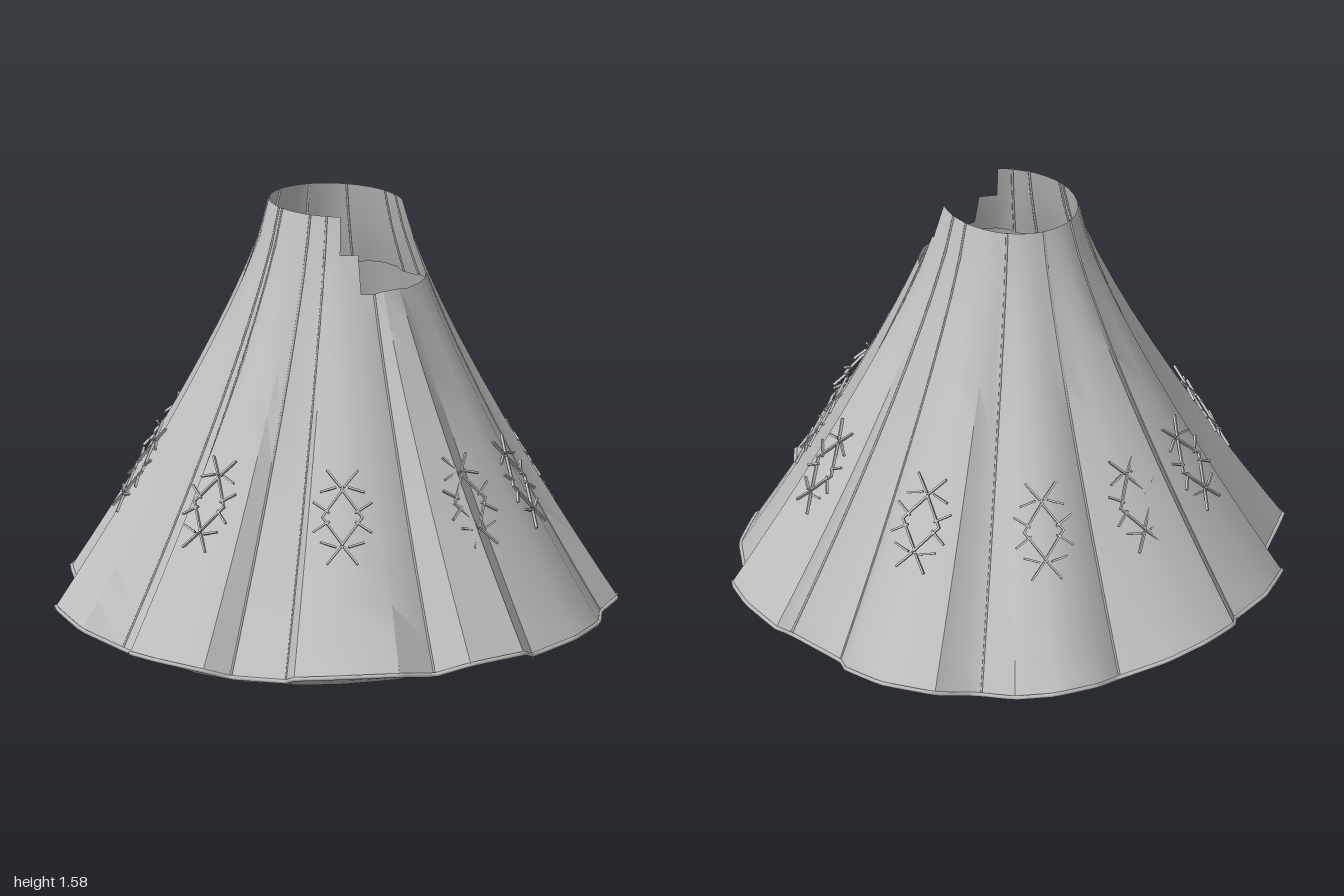
import * as THREE from 'three';
import { toCreasedNormals } from 'three/addons/utils/BufferGeometryUtils.js';

// Scalloped hem outline seen from above, as x, z pairs
const HEM = [
  .88, 0, 1, .2, .92, .4, .78, .43, .75, .59, .59, .75, .44, .8, .38, .77, .17, .82, .11, .9, -.07, .945,
  -.22, .9, -.27, .81, -.34, .79, -.5, .82, -.69, .73, -.74, .53, -.76, .48, -.92, .35, -.97, .16, -.94, 0,
  -1, -.1, -.97, -.24, -.89, -.37, -.76, -.48, -.75, -.61, -.66, -.75, -.53, -.81, -.37, -.775, -.33, -.8,
  -.26, -.91, -.07, -.96, .11, -.91, .18, -.83, .41, -.79, .46, -.81, .62, -.75, .73, -.67, .74, -.56,
  .86, -.4, .92, -.19];
const N = HEM.length / 2;
const V = (x, y, z) => new THREE.Vector3(x, y, z);
const angleOf = p => Math.atan2(p.z, p.x);

// Hem point at fractional column u; the hem rises at the sides and on each scallop
function hemPoint(u) {
  const i = Math.floor(u), k = u - i, a = (i % N) * 2, b = ((i + 1) % N) * 2;
  const x = THREE.MathUtils.lerp(HEM[a], HEM[b], k), z = THREE.MathUtils.lerp(HEM[a + 1], HEM[b + 1], k);
  const y = .068 + (x < 0 ? .08 : .015) * x ** 4 + (Math.hypot(x, z) - .87) * .45;
  return V(x, y, z);
}

// Point on the flared wall: t = 0 at the waist, 1 at the hem
function wallPoint(u, t) {
  const h = hemPoint(u), a = angleOf(h), f = t ** 1.24;
  const w = V(-.015 + .25 * Math.cos(a), 1.59, -.01 + .215 * Math.sin(a));
  return V(w.x + (h.x - w.x) * f, w.y + (h.y - w.y) * t, w.z + (h.z - w.z) * f);
}

// Smooth oval inner edge of the turned-under hem
function lipPoint(u) {
  const a = angleOf(hemPoint(u)), x = .77 * Math.cos(a);
  return V(x, .01 + .08 * x * x, .73 * Math.sin(a));
}

// Closed band of quads from a point rule; skip(u, row) leaves gaps
function band(point, rows, skip = () => false) {
  const pos = [];
  for (let i = 0; i < N; i++) {
    for (let j = 0; j < rows.length - 1; j++) {
      if (skip(i, j)) continue;
      const a = point(i, rows[j]), b = point(i, rows[j + 1]);
      const c = point(i + 1, rows[j]), d = point(i + 1, rows[j + 1]);
      for (const p of [a, c, b, c, d, b]) pos.push(p.x, p.y, p.z);
    }
  }
  const g = new THREE.BufferGeometry();
  g.setAttribute('position', new THREE.Float32BufferAttribute(pos, 3));
  return toCreasedNormals(g, .6);
}

export function createModel() {
  const model = new THREE.Group();
  const cloth = new THREE.MeshStandardMaterial({ color: 0xc0c0c0, side: THREE.DoubleSide });
  cloth.name = 'grey cloth';
  const add = (name, geometry, parent = model) => {
    const m = new THREE.Mesh(geometry, cloth);
    m.name = name;
    parent.add(m);
    return m;
  };

  // Pleated outer wall with a straight-sided notch in the waist on the +x side
  const rows = [0, .088, .176, .26, .35, .45, .55, .65, .75, .85, .93, 1];
  const notchHalfAngle = [.8, .6];
  const inNotch = (u, row) => row < 2 && Math.abs(angleOf(hemPoint(u))) < notchHalfAngle[row];
  add('pleatedSkirt', band(wallPoint, rows, (i, j) => inNotch(i + .5, j)));

  // Turned-under hem and smooth inner lining
  add('hemUnderside', band((u, s) => hemPoint(u).lerp(lipPoint(u), s), [0, .5, 1]));
  add('lining', band((u, s) => {
    const top = wallPoint(u, .2);
    return lipPoint(u).lerp(V(top.x * .97, top.y, top.z * .97), s);
  }, [0, .25, .5, .75, 1]));

  // Narrow panel and two corner flaps across the inside
  const flap = pts => {
    const shape = new THREE.Shape(pts.map(([x, z]) => new THREE.Vector2(x, -z)));
    return new THREE.ShapeGeometry(shape).rotateX(-Math.PI / 2).translate(0, 1.1, 0);
  };
  add('innerPanel', flap([[-.04, -.26], [.05, -.26], [.01, 0], [.05, .26], [-.06, .26], [-.01, 0]]));
  add('innerFlapLeft', flap([[.06, -.26], [.3, -.2], [.33, .1], [.25, .14]]));
  add('innerFlapRight', flap([[-.32, -.06], [-.06, .2], [-.1, .28], [-.28, .2]]));

  // Raised seams along the folds, starting below the notch where they meet it
  const seams = new THREE.Group();
  seams.name = 'seams';
  for (const u of [3, 7, 8, 12, 13, 17, 20, 24, 28, 33, 34, 38]) {
    const pts = rows.slice(inNotch(u, 0) ? 2 : 0).map(t => wallPoint(u, t));
    add('seam', new THREE.TubeGeometry(new THREE.CatmullRomCurve3(pts), 16, .005, 4), seams);
  }
  model.add(seams);

  // Trim along the hem edge
  const edge = Array.from({ length: N }, (_, i) => hemPoint(i));
  const edgeCurve = new THREE.CatmullRomCurve3(edge, true, 'catmullrom', .1);
  add('hemTrim', new THREE.TubeGeometry(edgeCurve, N * 4, .008, 5, true));

  // Stitched diamond motif on every scallop: x, y, length, angle of each stitch
  const stitches = [];
  for (const sx of [-1, 1]) {
    for (const sy of [-1, 1]) {
      stitches.push([sx * .035, sy * .05, .13, -sx * sy * .95]);
      stitches.push([sx * .075, sy * .035, .07, sx * sy * .6]);
      stitches.push([sx * .03, sy * .14, .08, sx * sy * .9]);
      stitches.push([sx * .05, sy * .1, .06, -sx * sy * .3]);
    }
  }
  for (const u of [.85, 4.9, 10, 15, 19, 22.5, 26, 31, 36, 39.2]) {
    const p = wallPoint(u, .66);
    const up = wallPoint(u, .6).sub(wallPoint(u, .72)).normalize();
    const out = V(p.x, 0, p.z);
    out.addScaledVector(up, -out.dot(up)).normalize();
    const side = V().crossVectors(up, out);
    const motif = new THREE.Group();
    motif.name = 'stitchedMotif';
    motif.applyMatrix4(new THREE.Matrix4().makeBasis(side, up, out).setPosition(p.addScaledVector(out, .01)));
    for (const [x, y, length, angle] of stitches) {
      const s = add('stitch', new THREE.BoxGeometry(length, .007, .009), motif);
      s.position.set(x, y, 0);
      s.rotation.z = angle;
    }
    model.add(motif);
  }
  return model;
}
